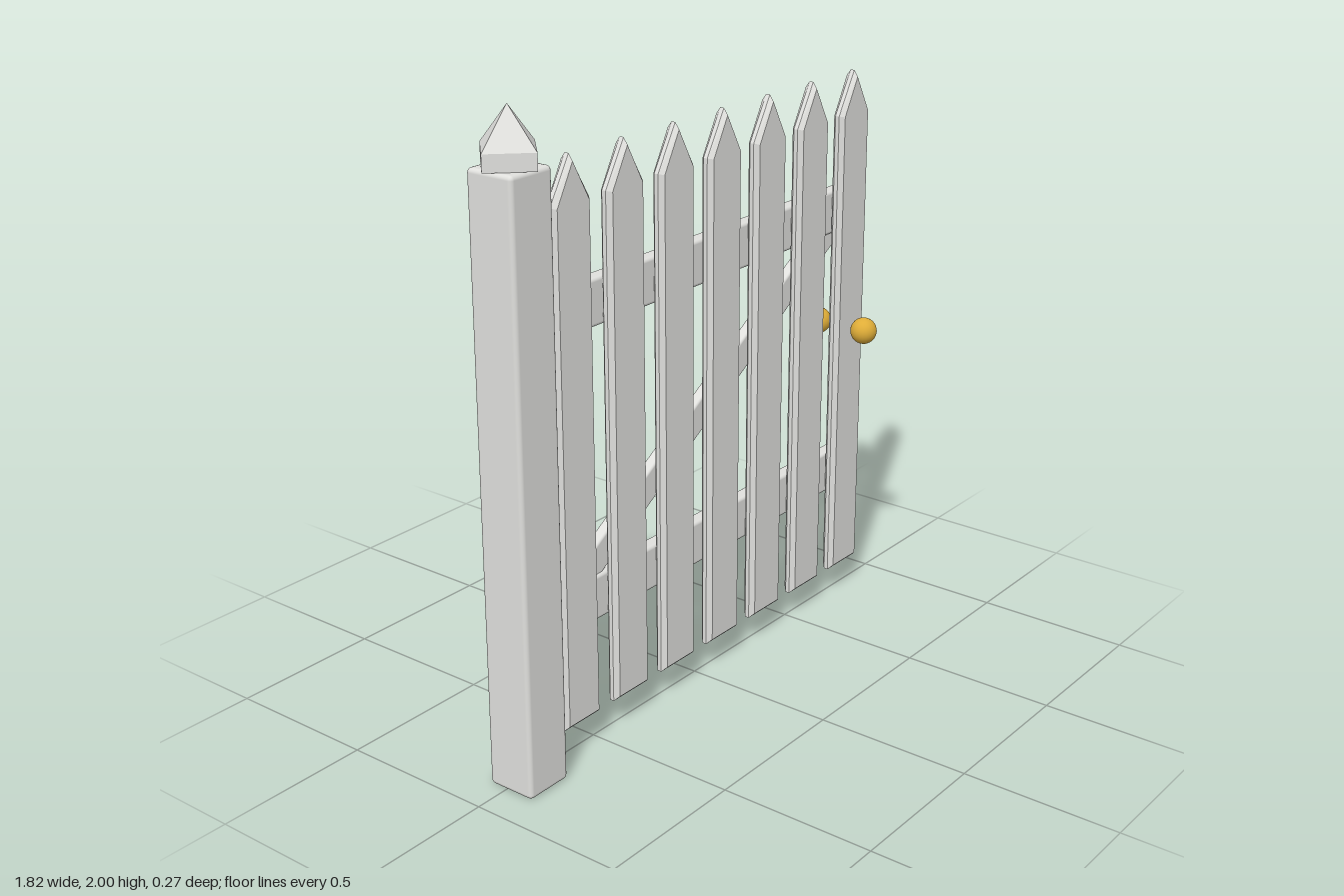
import * as THREE from 'three';
import { RoundedBoxGeometry } from 'three/addons/geometries/RoundedBoxGeometry.js';

const paint = new THREE.MeshStandardMaterial({ color: 0xe0e0dd });
paint.name = 'greyPaint';
const brass = new THREE.MeshStandardMaterial({ color: 0xdfad38 });
brass.name = 'brass';

export function createModel() {
  const root = new THREE.Group();
  root.name = 'picketGate';
  const add = (name, geometry, material, x, y, z) => {
    const mesh = new THREE.Mesh(geometry, material);
    mesh.name = name;
    mesh.position.set(x, y, z);
    root.add(mesh);
    return mesh;
  };

  // Hinge post
  add('post', new RoundedBoxGeometry(0.16, 1.835, 0.16, 2, 0.014), paint, -0.808, 0.9175, 0.02);

  // Post cap: diamond-shaped block under a four-sided point
  const block = new THREE.CylinderGeometry(0.102, 0.102, 0.05, 4).toNonIndexed();
  block.computeVertexNormals();
  add('capBase', block, paint, -0.808, 1.86, 0.02);
  const point = new THREE.ConeGeometry(0.102, 0.115, 4, 1, true).toNonIndexed();
  point.computeVertexNormals();
  add('capPoint', point, paint, -0.808, 1.9425, 0.02);

  // Pointed pickets with chamfered edges
  const bevel = 0.014;
  const w = 0.08 - bevel;
  const outline = new THREE.Shape([
    new THREE.Vector2(-w, 0.096 + bevel),
    new THREE.Vector2(w, 0.096 + bevel),
    new THREE.Vector2(w, 1.686),
    new THREE.Vector2(0, 1.806),
    new THREE.Vector2(-w, 1.686),
  ]);
  const picket = new THREE.ExtrudeGeometry(outline, {
    depth: 0.014, bevelEnabled: true, bevelSize: bevel, bevelThickness: bevel, bevelSegments: 1,
  });
  for (let i = 0; i < 7; i++) {
    add('picket' + (i + 1), picket, paint, -0.583 + i * 0.2296, 0, 0.013);
  }

  // Rails across the back
  const rail = new RoundedBoxGeometry(1.605, 0.146, 0.05, 2, 0.012);
  add('lowerRail', rail, paint, 0.105, 0.441, -0.035);
  add('upperRail', rail, paint, 0.105, 1.361, -0.035);

  // Diagonal brace, its ends let into the rails
  const brace = add('brace', new RoundedBoxGeometry(1.72, 0.098, 0.038, 2, 0.01), paint, 0.102, 0.89, -0.038);
  brace.rotation.z = Math.atan(0.62);

  // Knobs on both sides
  const knob = new THREE.SphereGeometry(0.044, 24, 16);
  add('frontKnob', knob, brass, 0.799, 0.96, 0.09);
  add('backKnob', knob, brass, 0.799, 0.96, -0.092);

  return root;
}
